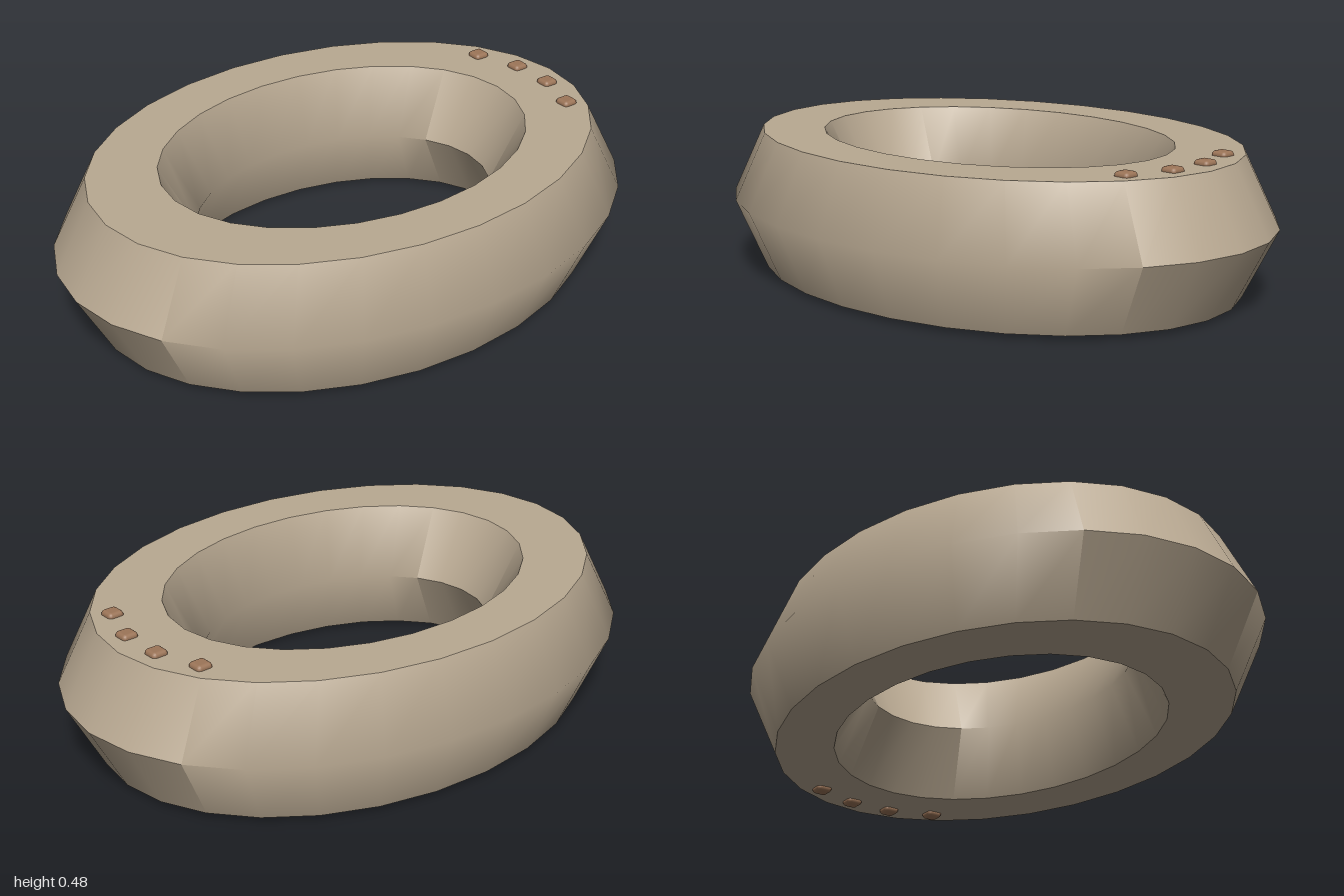
import * as THREE from 'three';
import { toCreasedNormals } from 'three/addons/utils/BufferGeometryUtils.js';
import { RoundedBoxGeometry } from 'three/addons/geometries/RoundedBoxGeometry.js';

export function createModel() {
  const group = new THREE.Group();
  group.name = 'ovalRing';

  const stone = new THREE.MeshStandardMaterial({ color: 0xb9a992 });
  stone.name = 'warm stone';
  const copper = new THREE.MeshStandardMaterial({ color: 0x9c7558 });
  copper.name = 'copper brown';

  const midY = 0.24, halfHeight = 0.225;

  // Oval ring with a six-sided cross-section, flat on top and bottom
  const tube = 0.238;
  const ringGeometry = new THREE.TorusGeometry(1 - tube, tube, 6, 28);
  ringGeometry.rotateX(Math.PI / 2);
  ringGeometry.scale(1, halfHeight / (tube * Math.sin(Math.PI / 3)), 0.747);
  // Only the tighter ends of the equator stay sharp
  const ring = new THREE.Mesh(toCreasedNormals(ringGeometry, THREE.MathUtils.degToRad(52.5)), stone);
  ring.name = 'ring';
  ring.position.y = midY;
  group.add(ring);

  // Four small pads along the left end, repeated on the underside
  const padGeometry = new RoundedBoxGeometry(0.055, 0.03, 0.055, 2, 0.013);
  for (const side of [1, -1]) {
    for (const [x, z] of [[0.75, 0.226], [0.8, 0.076], [0.8, -0.076], [0.75, -0.226]]) {
      const pad = new THREE.Mesh(padGeometry, copper);
      pad.name = side > 0 ? 'topPad' : 'bottomPad';
      pad.position.set(x, midY + side * halfHeight, z);
      group.add(pad);
    }
  }
  return group;
}
